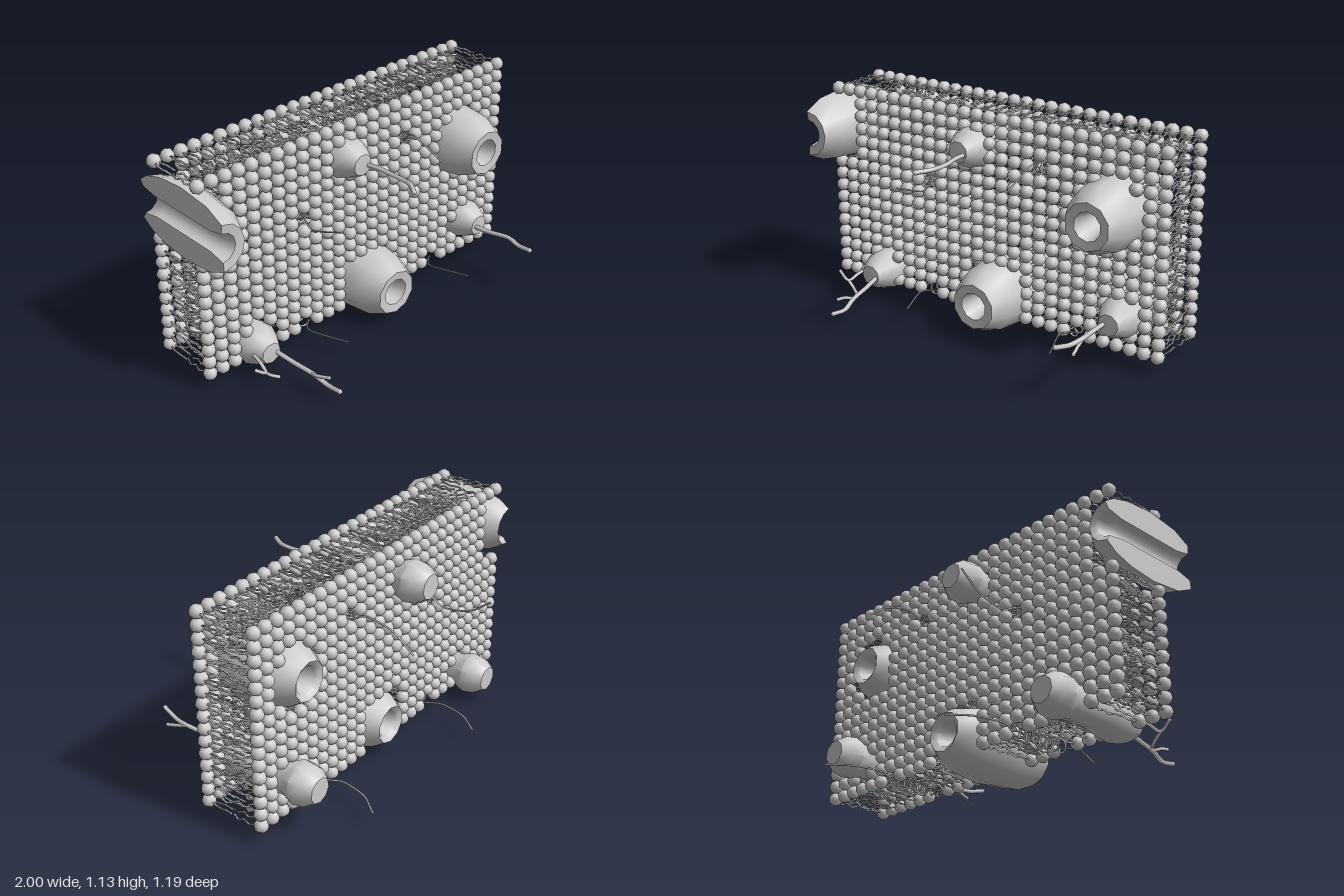
import * as THREE from 'three';
import { mergeGeometries, toCreasedNormals } from 'three/addons/utils/BufferGeometryUtils.js';

const material = new THREE.MeshStandardMaterial({ color: 0xcccccc });
const thinMaterial = new THREE.MeshStandardMaterial({ color: 0xcccccc, side: THREE.DoubleSide });
const FRONT = 0.08, BACK = -0.24;

// x, y, radius kept free of lipids
const channels = [[0.05, 0.187, 0.165], [0.685, 0.75, 0.165]];
const halfChannel = [-1, 0.89, 0.18];
const globules = [[-0.1, 0.93, 0.1], [-0.69, 0.135, 0.1], [0.76, 0.25, 0.1]];
// x, y, turn about z
const helices = [[-0.37, 0.69, Math.PI / 2], [0.295, 0.9, -Math.PI / 2], [0.49, 0.095, 0], [-0.37, 0.095, 0]];

function mesh(name, geometry, mat = material) {
  const m = new THREE.Mesh(geometry, mat);
  m.name = name;
  return m;
}

function tube(points, radius, segments, sides) {
  const curve = new THREE.CatmullRomCurve3(points.map((p) => new THREE.Vector3(...p)));
  return new THREE.TubeGeometry(curve, segments, radius, sides);
}

// Lathe whose axis runs along z; profile is [radius, z]
function latheZ(profile, sides, length = Math.PI * 2) {
  const g = new THREE.LatheGeometry(profile.map((p) => new THREE.Vector2(...p)), sides, 0, length);
  g.rotateX(Math.PI / 2);
  return toCreasedNormals(g, 0.85);
}

// One lipid: round head at the origin, two wavy tails along -z
function lipidGeometry(variant) {
  const parts = [new THREE.SphereGeometry(0.035, 9, 6).rotateX(Math.PI / 2)];
  for (const side of [-1, 1]) {
    const w = 0.007 * Math.sin(variant * 2.1 + side);
    parts.push(tube([
      [side * 0.008, 0, -0.028], [side * 0.021, w, -0.055], [side * 0.013, -w, -0.085],
      [side * 0.022, w, -0.12], [side * 0.012, -w, -0.154],
    ], 0.0055, 4, 3));
  }
  return mergeGeometries(parts).rotateZ(variant * 1.1);
}

function lipidLayer(name, z, flip) {
  const variants = [0, 1, 2, 3, 4].map((v) => {
    const g = lipidGeometry(v);
    return flip ? g.rotateY(Math.PI) : g;
  });
  const blocked = [...channels, halfChannel, ...globules, ...helices.map(([x, y]) => [x, y, 0.036])];
  const parts = [];
  for (let i = 0; i < 27; i++) {
    for (let j = 0; j < 16; j++) {
      const x = -0.965 + i * 0.0742, y = 0.095 + j * 0.0667;
      if (blocked.some(([bx, by, r]) => Math.hypot(x - bx, y - by) < r)) continue;
      parts.push(variants[(i * 3 + j * 7 + ((i * j) % 4)) % 5].clone().translate(x, y, z));
    }
  }
  return mesh(name, mergeGeometries(parts), thinMaterial);
}

// Barrel with a funnel-ended bore
const channelProfile = [
  [0.07, -0.29], [0.1, -0.31], [0.14, -0.25], [0.17, -0.15], [0.185, 0.01], [0.165, 0.19],
  [0.118, 0.29], [0.072, 0.285], [0.053, 0.2], [0.053, -0.2], [0.07, -0.29],
];
const globuleProfile = [
  [0, -0.42], [0.065, -0.42], [0.1, -0.37], [0.11, -0.31], [0.09, -0.26], [0.085, -0.1],
  [0.105, 0.03], [0.11, 0.09], [0.085, 0.15], [0.055, 0.2], [0, 0.205],
];

// Channel sliced along its axis, with flat walls on the cut
function slicedChannel() {
  const group = new THREE.Group();
  group.name = 'slicedChannel';
  group.add(mesh('slicedBarrel', latheZ(channelProfile, 6, Math.PI), thinMaterial));
  const shape = new THREE.Shape(channelProfile.map((p) => new THREE.Vector2(...p)));
  for (const side of [-1, 1]) {
    const cut = new THREE.ShapeGeometry(shape).rotateX(Math.PI / 2).rotateZ(side * Math.PI / 2);
    group.add(mesh('cutWall', cut, thinMaterial));
  }
  return group;
}

// Coil inside the membrane with a loose thread out of each face
function helix() {
  const coil = [];
  for (let i = 0; i <= 56; i++) {
    const a = (i / 8) * Math.PI * 2;
    coil.push([0.03 * Math.cos(a), 0.03 * Math.sin(a), -0.24 + (i / 56) * 0.31]);
  }
  const backThread = [
    [0.1, 0, -0.595], [0.065, 0, -0.55], [0.02, 0, -0.49], [-0.005, 0, -0.41],
    [-0.012, 0, -0.32], [0.015, 0, -0.27],
  ];
  const frontThread = [[0, 0, 0.09], [-0.03, 0, 0.13], [-0.012, 0, 0.2], [0.02, 0, 0.28], [0.045, 0, 0.345]];
  return mergeGeometries([
    tube(coil, 0.0055, 130, 5),
    tube([...backThread, coil[0]], 0.005, 24, 5),
    tube([coil[56], ...frontThread], 0.004, 20, 5),
  ]);
}

// Sugar chains on the front of the globular proteins
const chains = [
  [[-0.07, 0.92, 0.18], [-0.06, 0.925, 0.27], [-0.05, 0.92, 0.37], [-0.055, 0.922, 0.46], [-0.095, 0.92, 0.53]],
  [[0.735, 0.25, 0.18], [0.74, 0.255, 0.28], [0.755, 0.27, 0.42], [0.74, 0.265, 0.49], [0.72, 0.285, 0.585]],
  [[0.755, 0.27, 0.4], [0.76, 0.25, 0.46], [0.775, 0.24, 0.52]],
  [[-0.66, 0.13, 0.18], [-0.64, 0.112, 0.3], [-0.62, 0.1, 0.42], [-0.605, 0.075, 0.5], [-0.605, 0.085, 0.585]],
  [[-0.62, 0.1, 0.41], [-0.635, 0.12, 0.46], [-0.62, 0.14, 0.53]],
  [[-0.76, 0.14, 0.13], [-0.77, 0.13, 0.21], [-0.785, 0.11, 0.27], [-0.84, 0.15, 0.27]],
  [[-0.785, 0.11, 0.27], [-0.755, 0.08, 0.27], [-0.72, 0.06, 0.285]],
];

export function createModel() {
  const model = new THREE.Group();
  model.name = 'cellMembrane';

  model.add(lipidLayer('frontLipids', FRONT, false), lipidLayer('backLipids', BACK, true));

  for (const [x, y] of channels) {
    const m = mesh('channelProtein', latheZ(channelProfile, 10));
    m.position.set(x, y, 0);
    model.add(m);
  }
  const half = slicedChannel();
  half.position.set(halfChannel[0], halfChannel[1], 0);
  model.add(half);

  for (const [x, y] of globules) {
    const m = mesh('globularProtein', latheZ(globuleProfile, 9));
    m.position.set(x, y, 0);
    model.add(m);
  }

  for (const [x, y, turn] of helices) {
    const m = mesh('helixProtein', helix());
    m.position.set(x, y, 0);
    m.rotation.z = turn;
    model.add(m);
  }

  // Each chain is closed by a rounded tip
  for (const points of chains) {
    const r = points.length > 4 ? 0.012 : 0.009;
    const tip = new THREE.SphereGeometry(r * 1.1, 6, 5).translate(...points[points.length - 1]);
    model.add(mesh('sugarChain', mergeGeometries([tube(points, r, 14, 6), tip])));
  }
  return model;
}
